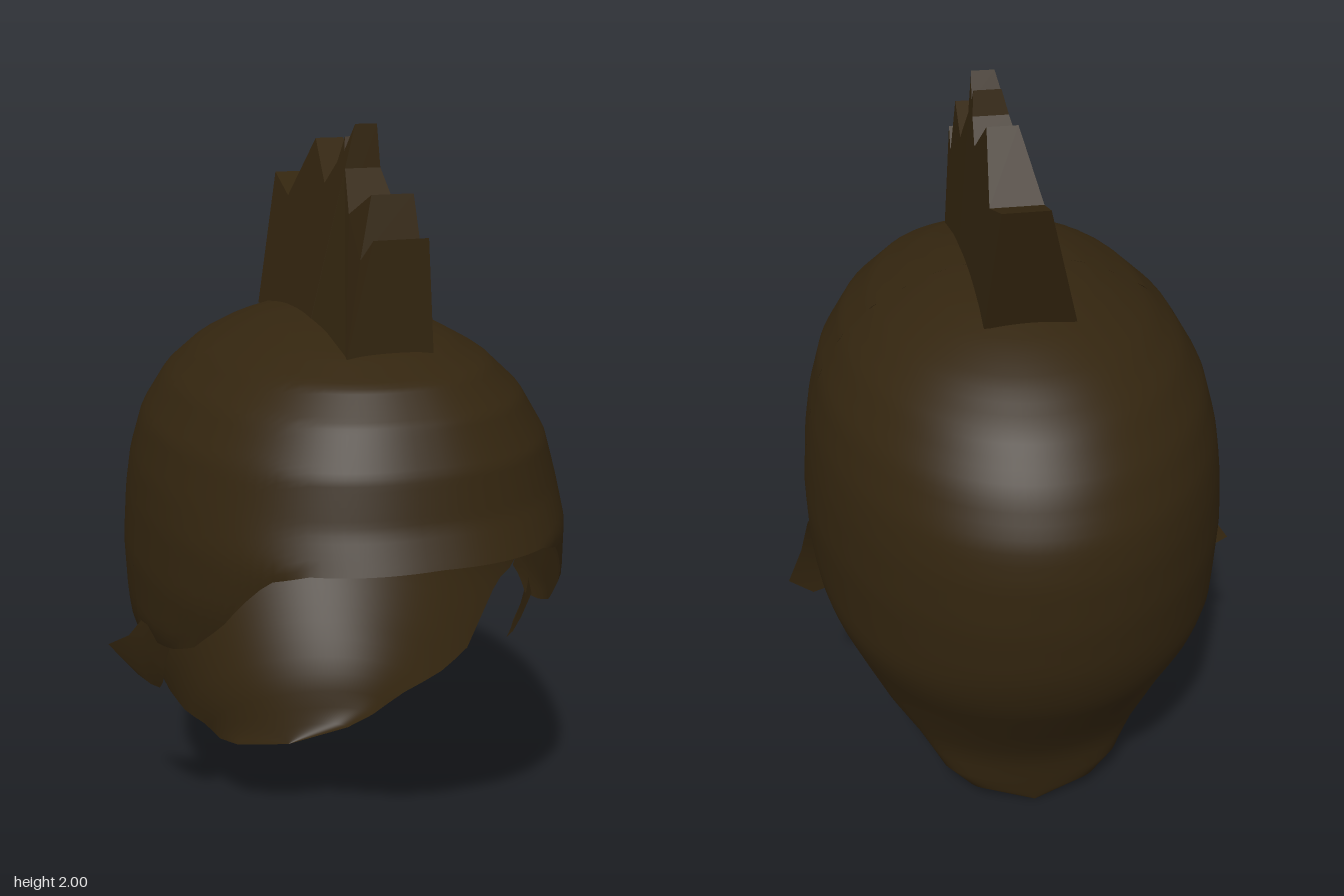
import * as THREE from 'three';

const hair = new THREE.MeshStandardMaterial({ color: 0x33250f, side: THREE.DoubleSide });
hair.name = 'darkBrownHair';

const TOP = 1.525;
// horizontal sections of the shell: y, half width, front z, back z, centre z
const SECTIONS = [
  [0, 0, -0.43, -0.43, -0.43], [0.02, 0.12, -0.41, -0.435, -0.41], [0.05, 0.18, -0.38, -0.445, -0.38],
  [0.1, 0.25, -0.34, -0.455, -0.34], [0.2, 0.32, -0.26, -0.48, -0.26], [0.3, 0.405, -0.16, -0.535, -0.16],
  [0.4, 0.465, 0.3, -0.60, -0.09], [0.54, 0.525, 0.55, -0.69, -0.085], [0.62, 0.555, 0.6, -0.725, -0.075],
  [0.7, 0.575, 0.63, -0.75, 0], [0.85, 0.58, 0.74, -0.768, 0], [1, 0.568, 0.77, -0.768, 0],
  [1.1, 0.553, 0.72, -0.75, 0], [1.22, 0.52, 0.69, -0.69, 0], [1.33, 0.455, 0.63, -0.6, 0],
  [1.41, 0.37, 0.55, -0.49, 0], [1.46, 0.28, 0.43, -0.385, 0], [1.495, 0.2, 0.28, -0.27, 0],
  [1.515, 0.11, 0.14, -0.15, 0], [TOP, 0, 0, 0, 0],
];
// lower edge above the face: angle from the front, y
const RIM = [[0, 1.01], [30, 1], [40, 0.97], [47, 0.89], [52, 0.81], [60, 0.72],
  [70, 0.67], [78, 0.65], [84, 0.67], [90, 0.69]];

// linear lookup in a table sorted by its first column
function lookup(table, key) {
  let i = 1;
  while (i < table.length - 1 && table[i][0] < key) i++;
  const a = table[i - 1], b = table[i];
  const t = THREE.MathUtils.clamp((key - a[0]) / (b[0] - a[0]), 0, 1);
  return a.map((v, k) => v + (b[k] - v) * t);
}

// smooth sheet through a grid of points, point(i, j) -> [x, y, z]
function sheet(cols, rows, point) {
  const pos = [], idx = [];
  for (let i = 0; i <= cols; i++) {
    for (let j = 0; j <= rows; j++) {
      pos.push(...point(i, j));
      if (i < cols && j < rows) {
        const a = i * (rows + 1) + j, c = a + rows + 1;
        idx.push(a, a + 1, c, a + 1, c + 1, c);
      }
    }
  }
  const g = new THREE.BufferGeometry();
  g.setAttribute('position', new THREE.Float32BufferAttribute(pos, 3));
  g.setIndex(idx);
  g.computeVertexNormals();
  return g;
}

// half of the hair shell between two angles, from crown to lower edge
function shell(from, to, rimAt, power) {
  const cols = 60, rows = 48;
  return sheet(cols, rows, (i, j) => {
    const deg = from + (to - from) * i / cols;
    const y = TOP - (TOP - rimAt(Math.abs(deg))) * Math.pow(j / rows, 1.7);
    const [, w, zf, zb, zc] = lookup(SECTIONS, y);
    const s = Math.sin(deg * Math.PI / 180), c = Math.cos(deg * Math.PI / 180);
    const x = w * Math.sign(s) * Math.pow(Math.abs(s), power);
    const z = zc + (c > 0 ? zf - zc : zc - zb) * Math.sign(c) * Math.pow(Math.abs(c), power);
    return [x, y, z];
  });
}

// jagged crest block: side outline in (z, y), narrowing to a ridge set to the left
function crest(outline) {
  const shape = new THREE.Shape(outline.map(([z, y]) => new THREE.Vector2(z, y)));
  const g = new THREE.ExtrudeGeometry(shape, { depth: 1, bevelEnabled: false });
  g.rotateY(-Math.PI / 2);
  const p = g.attributes.position;
  for (let i = 0; i < p.count; i++) {
    const t = Math.max(0, (p.getY(i) - 1.48) / 0.52);
    p.setX(i, p.getX(i) < -0.5 ? -0.12 + 0.14 * t : 0.117 - 0.037 * t);
  }
  g.computeVertexNormals();
  return g;
}

export function createModel() {
  const model = new THREE.Group();
  model.name = 'crestedHair';
  const add = (name, geometry) => {
    const mesh = new THREE.Mesh(geometry, hair);
    mesh.name = name;
    model.add(mesh);
    return mesh;
  };

  add('frontHair', shell(-90, 90, a => lookup(RIM, a)[1], 0.89));
  add('backHair', shell(90, 270, () => 0, 1));

  // spiky crest in two blocks
  add('frontCrest', crest([[0.415, 1.44], [0.415, 1.745], [0.365, 1.69], [0.33, 1.845], [0.215, 1.785],
    [0.1, 1.9], [0.1, 1.49]]));
  add('backCrest', crest([[0.135, 1.49], [0.105, 2], [0.075, 1.93], [0.055, 1.965], [0.045, 1.9],
    [-0.01, 1.84], [-0.16, 1.945], [-0.27, 1.78], [-0.425, 1.83], [-0.305, 1.475]]));

  // curled lock before each ear: front edge, middle, flared outer edge
  const lock = [
    [[0.53, 0.68, 0.2], [0.535, 0.58, 0.13], [0.53, 0.52, 0.09], [0.53, 0.485, 0.05]],
    [[0.56, 0.69, 0.12], [0.575, 0.62, 0.07], [0.575, 0.55, 0.03], [0.55, 0.49, 0.03]],
    [[0.58, 0.7, 0.07], [0.605, 0.64, 0.02], [0.648, 0.59, -0.055], [0.58, 0.51, -0.01]],
  ];
  for (const side of [1, -1]) {
    const mesh = add(side > 0 ? 'leftSideLock' : 'rightSideLock', sheet(2, 3, (i, j) => lock[i][j]));
    mesh.scale.x = side;
  }
  return model;
}
